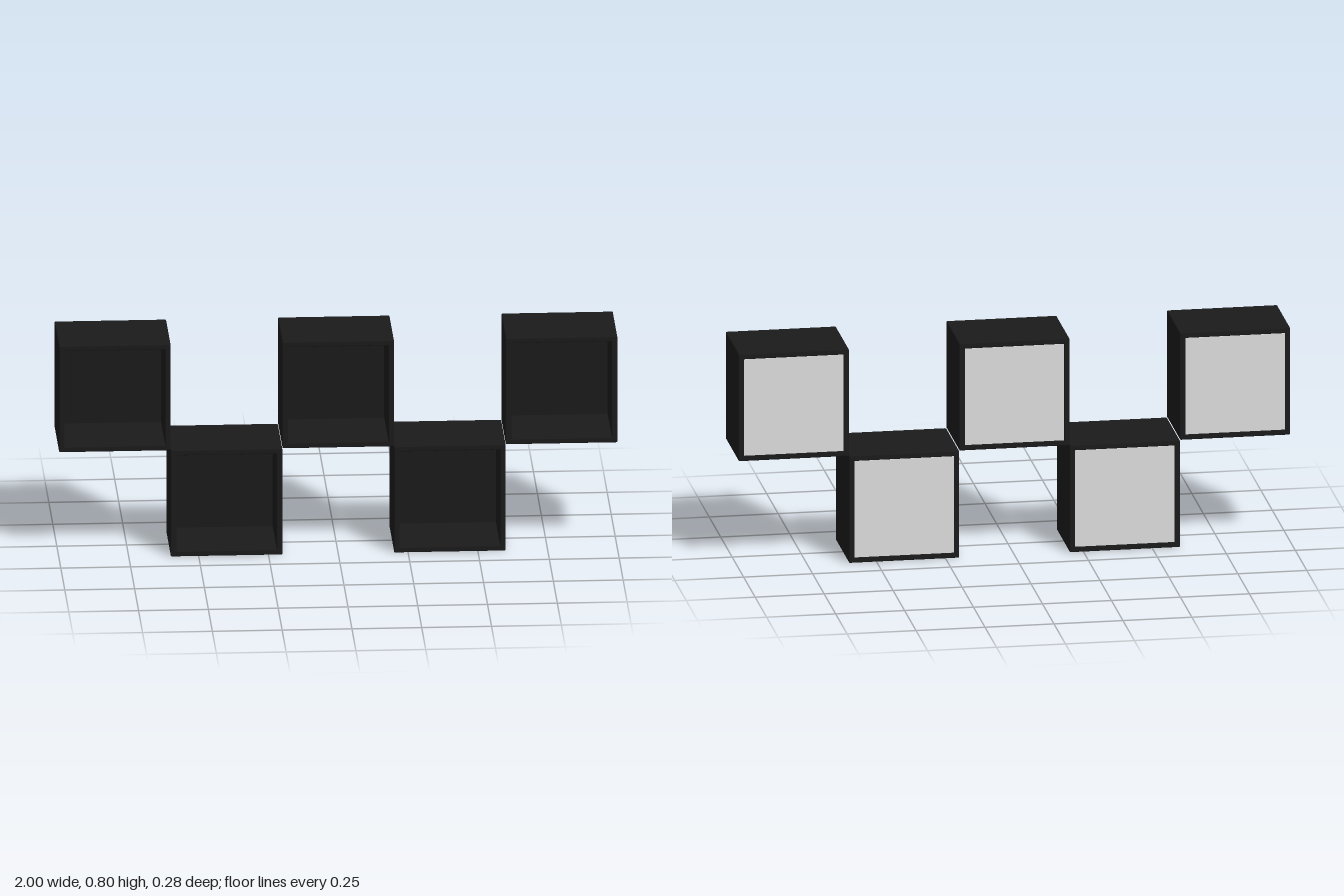
import * as THREE from 'three';

const SIZE = 0.4, DEPTH = 0.285, WALL = 0.02, BEVEL = 0.003, CORNER = 0.005;
const INNER = SIZE - 2 * WALL;

const black = new THREE.MeshStandardMaterial({ name: 'black lacquer', color: 0x1a1a1a });
const grey = new THREE.MeshStandardMaterial({ name: 'light grey backing', color: 0xdddddd });

// Square outline with slightly rounded corners
function outerShape() {
  const h = SIZE / 2, c = h - CORNER;
  const shape = new THREE.Shape();
  shape.moveTo(-c, -h);
  shape.lineTo(c, -h);
  shape.quadraticCurveTo(h, -h, h, -c);
  shape.lineTo(h, c);
  shape.quadraticCurveTo(h, h, c, h);
  shape.lineTo(-c, h);
  shape.quadraticCurveTo(-h, h, -h, c);
  shape.lineTo(-h, -c);
  shape.quadraticCurveTo(-h, -h, -c, -h);
  return shape;
}

// Square sleeve with lightly eased front and back edges
function sleeveGeometry() {
  const shape = outerShape();
  const h = INNER / 2;
  const corners = [[-h, -h], [-h, h], [h, h], [h, -h]];
  shape.holes.push(new THREE.Path(corners.map(([x, y]) => new THREE.Vector2(x, y))));
  const geometry = new THREE.ExtrudeGeometry(shape, {
    depth: DEPTH - 2 * BEVEL,
    bevelThickness: BEVEL,
    bevelSize: BEVEL,
    bevelOffset: -BEVEL,
    bevelSegments: 2,
    curveSegments: 3,
  });
  geometry.translate(0, 0, -DEPTH / 2 + BEVEL);
  return geometry;
}

export function createModel() {
  const model = new THREE.Group();
  model.name = 'cubeShelf';

  const sleeve = sleeveGeometry();
  const board = new THREE.BoxGeometry(INNER, INNER, 0.012);
  const backing = new THREE.BoxGeometry(INNER, INNER, 0.003);

  // Five open cubes, alternating between the upper and lower row
  for (let i = 0; i < 5; i++) {
    const cube = new THREE.Group();
    cube.name = `cube${i + 1}`;
    cube.position.set((i - 2) * SIZE, i % 2 === 0 ? SIZE * 1.5 : SIZE * 0.5, 0);

    const frame = new THREE.Mesh(sleeve, black);
    frame.name = 'frame';

    // Dark panel seen inside, with its light rear face
    const panel = new THREE.Mesh(board, black);
    panel.name = 'backPanel';
    panel.position.z = -DEPTH / 2 + 0.01;
    const rear = new THREE.Mesh(backing, grey);
    rear.name = 'rearBacking';
    rear.position.z = -DEPTH / 2 + 0.0025;

    cube.add(frame, panel, rear);
    model.add(cube);
  }
  return model;
}
